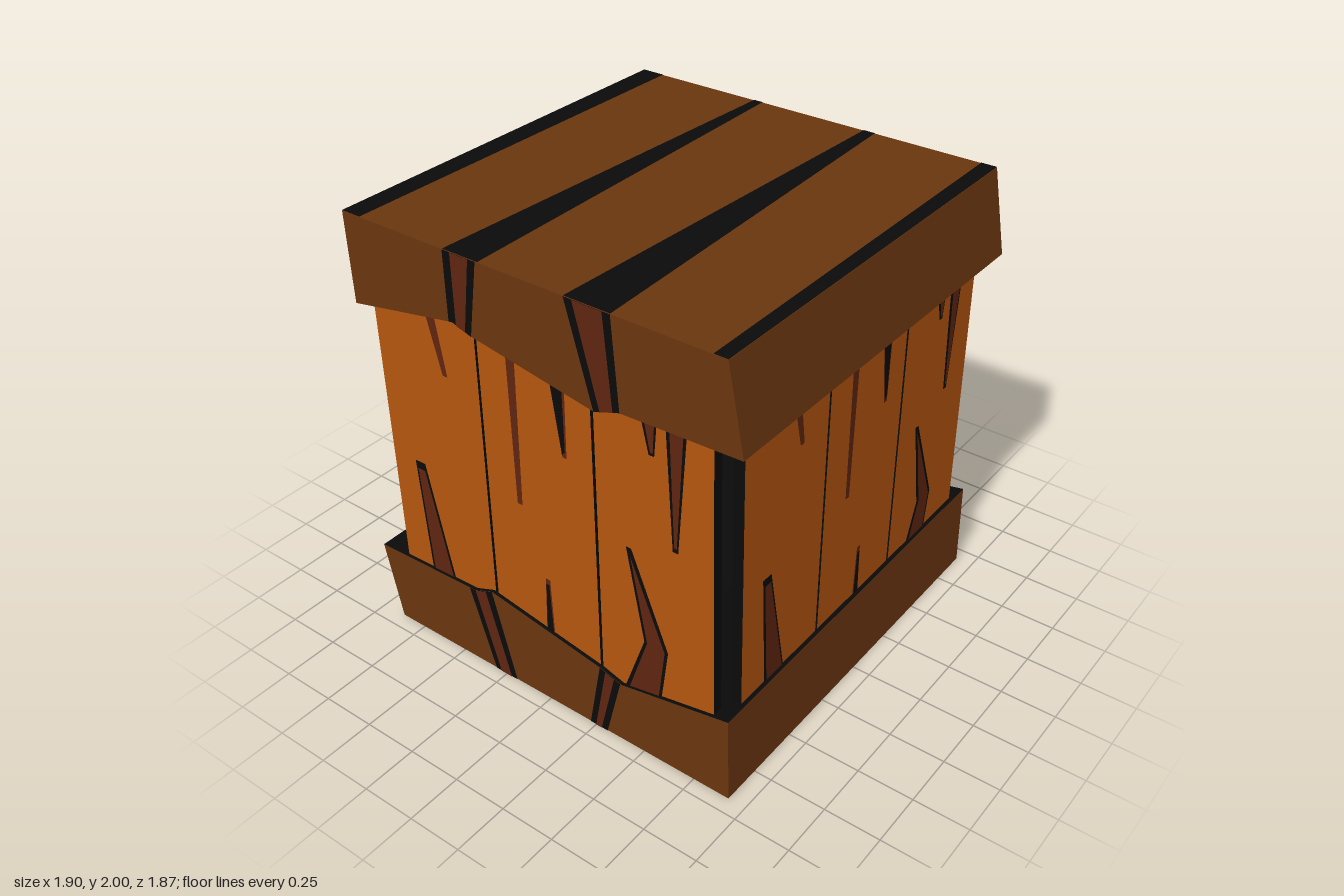
import * as THREE from 'three';

const mat = (color) => new THREE.MeshStandardMaterial({ color, flatShading: true });
const V = (pts) => pts.map(([x, y]) => new THREE.Vector2(x, y));

export function createModel() {
  const root = new THREE.Group();
  root.name = 'woodenCrate';
  const orange = mat(0xb5560f), brown = mat(0x6a360f), red = mat(0x5e2410), black = mat(0x0a0a0a);

  const add = (parent, name, geometry, material) => {
    const mesh = new THREE.Mesh(geometry, material);
    mesh.name = name;
    parent.add(mesh);
    return mesh;
  };
  // Flat patch in the xy plane, lying at depth z
  const patch = (parent, name, pts, material, z) => {
    const mesh = add(parent, name, new THREE.ShapeGeometry(new THREE.Shape(V(pts))), material);
    mesh.position.z = z;
    return mesh;
  };
  const extrude = (pts, z0, z1) => {
    const g = new THREE.ExtrudeGeometry(new THREE.Shape(V(pts)), { depth: z1 - z0, bevelEnabled: false });
    return g.translate(0, 0, z0);
  };

  // Lid and base: wavy blocks whose inner edge is painted black
  const band = (name, pts, innerDir) => {
    let g = extrude(pts, -0.93, 0.93);
    if (g.index) g = g.toNonIndexed();
    g.clearGroups();
    const n = g.attributes.normal;
    for (let i = 0; i < n.count; i += 3) g.addGroup(i, 3, n.getY(i) * innerDir > 0.7 ? 1 : 0);
    add(root, name, g, [brown, black]);
  };
  band('lid', [[-0.93, 2], [-0.92, 1.6], [-0.38, 1.7], [-0.29, 1.67], [0.3, 1.57], [0.41, 1.61], [0.95, 1.63], [0.88, 2]], -1);
  band('base', [[-0.88, 0], [0.92, 0], [0.91, 0.405], [0.39, 0.3], [0.29, 0.33], [-0.3, 0.43], [-0.4, 0.39], [-0.955, 0.37]], 1);

  // Seams on the front of lid and base: black border, red core
  const seams = [
    [[[-0.4, 2], [-0.4, 1.697], [-0.38, 1.7], [-0.287, 1.67], [-0.235, 2]],
      [[-0.36, 2], [-0.36, 1.693], [-0.315, 1.68], [-0.27, 2]]],
    [[[0.18, 2], [0.3, 1.57], [0.41, 1.61], [0.42, 1.611], [0.39, 2]],
      [[0.22, 2], [0.33, 1.582], [0.39, 1.603], [0.355, 2]]],
    [[[-0.43, 0.389], [-0.31, 0], [-0.19, 0], [-0.3, 0.43], [-0.4, 0.39]],
      [[-0.395, 0.392], [-0.28, 0], [-0.22, 0], [-0.335, 0.415]]],
    [[[0.28, 0.332], [0.22, 0], [0.31, 0], [0.385, 0.302], [0.29, 0.33]],
      [[0.31, 0.324], [0.25, 0], [0.28, 0], [0.355, 0.311]]],
  ];
  for (const [border, core] of seams) {
    patch(root, 'seamBorder', border, black, 0.932);
    patch(root, 'seamCore', core, red, 0.934);
  }

  // Thin red seams on the back
  const back = [
    [[0.265, 2], [0.31, 2], [0.36, 1.595], [0.31, 1.577]],
    [[-0.31, 2], [-0.265, 2], [-0.285, 1.672], [-0.33, 1.684]],
    [[0.305, 0.325], [0.36, 0.309], [0.31, 0], [0.27, 0]],
    [[-0.37, 0.402], [-0.32, 0.42], [-0.24, 0], [-0.28, 0]],
  ];
  for (const pts of back) {
    patch(root, 'backSeam', pts.map(([x, y]) => [-x, y]), red, -0.932).rotation.y = Math.PI;
  }

  // Tapered black gaps across the lid: front left, front right, back left, back right
  for (const [a, b, c, d] of [
    [-0.93, -0.835, -0.93, -0.82], [-0.4, -0.225, -0.31, -0.265],
    [0.18, 0.39, 0.255, 0.31], [0.82, 0.88, 0.81, 0.88],
  ]) {
    const gap = patch(root, 'lidGap', [[a, -0.93], [b, -0.93], [d, 0.93], [c, 0.93]], black, 0);
    gap.rotation.x = -Math.PI / 2;
    gap.position.y = 2.002;
  }

  // Planks of one wall: bottom left, bottom right, top right, top left
  const planks = [
    [-0.81, -0.292, -0.292, -0.835],
    [-0.278, 0.272, 0.268, -0.28],
    [0.285, 0.835, 0.815, 0.282],
  ];
  // Cracks: lower layer colour and shape, then upper layer
  const cracks = [
    [red, [[-0.55, 1.7], [-0.5, 1.7], [-0.455, 1.42], [-0.48, 1.42]]],
    [red, [[-0.135, 1.7], [-0.09, 1.7], [-0.1, 0.965], [-0.125, 0.965]]],
    [red, [[0.075, 1.65], [0.15, 1.65], [0.145, 1.29], [0.125, 1.29]],
      black, [[0.075, 1.65], [0.138, 1.65], [0.14, 1.32], [0.125, 1.3]]],
    [black, [[0.495, 1.65], [0.575, 1.65], [0.56, 1.475], [0.535, 1.475]],
      red, [[0.51, 1.65], [0.565, 1.65], [0.555, 1.487], [0.543, 1.487]]],
    [black, [[0.61, 1.65], [0.705, 1.65], [0.665, 1.09], [0.64, 1.09]],
      red, [[0.628, 1.65], [0.692, 1.65], [0.66, 1.11], [0.648, 1.11]]],
    [black, [[-0.695, 0.93], [-0.64, 0.93], [-0.51, 0.3], [-0.655, 0.3]],
      red, [[-0.682, 0.895], [-0.643, 0.895], [-0.52, 0.3], [-0.642, 0.3]]],
    [red, [[0, 0.645], [0.023, 0.645], [0.035, 0.3], [-0.012, 0.3]],
      black, [[0.003, 0.62], [0.018, 0.62], [0.032, 0.3], [-0.008, 0.3]]],
    [black, [[0.42, 1.01], [0.445, 1.01], [0.615, 0.58], [0.575, 0.28], [0.395, 0.28], [0.5, 0.58]],
      red, [[0.44, 0.975], [0.6, 0.575], [0.563, 0.28], [0.415, 0.28], [0.515, 0.58]]],
  ];

  // Four identical walls, turned about the vertical axis
  ['frontWall', 'rightWall', 'backWall', 'leftWall'].forEach((name, i) => {
    const wall = new THREE.Group();
    wall.name = name;
    wall.rotation.y = (i * Math.PI) / 2;
    const d = i % 2 ? 0.889 : 0.914;
    for (const [a, b, c, e] of planks) {
      const pts = [[a, 0.2], [b, 0.2], [c, 1.8], [e, 1.8]];
      add(wall, 'plank', extrude(pts, d - 0.03, d), [orange, black]);
      add(wall, 'plankBacking', extrude(pts, d - 0.047, d - 0.03), [brown, black]);
    }
    for (const [m0, p0, m1, p1] of cracks) {
      patch(wall, 'crack', p0, m0, d + 0.002);
      if (p1) patch(wall, 'crackInner', p1, m1, d + 0.004);
    }
    root.add(wall);
  });
  return root;
}
